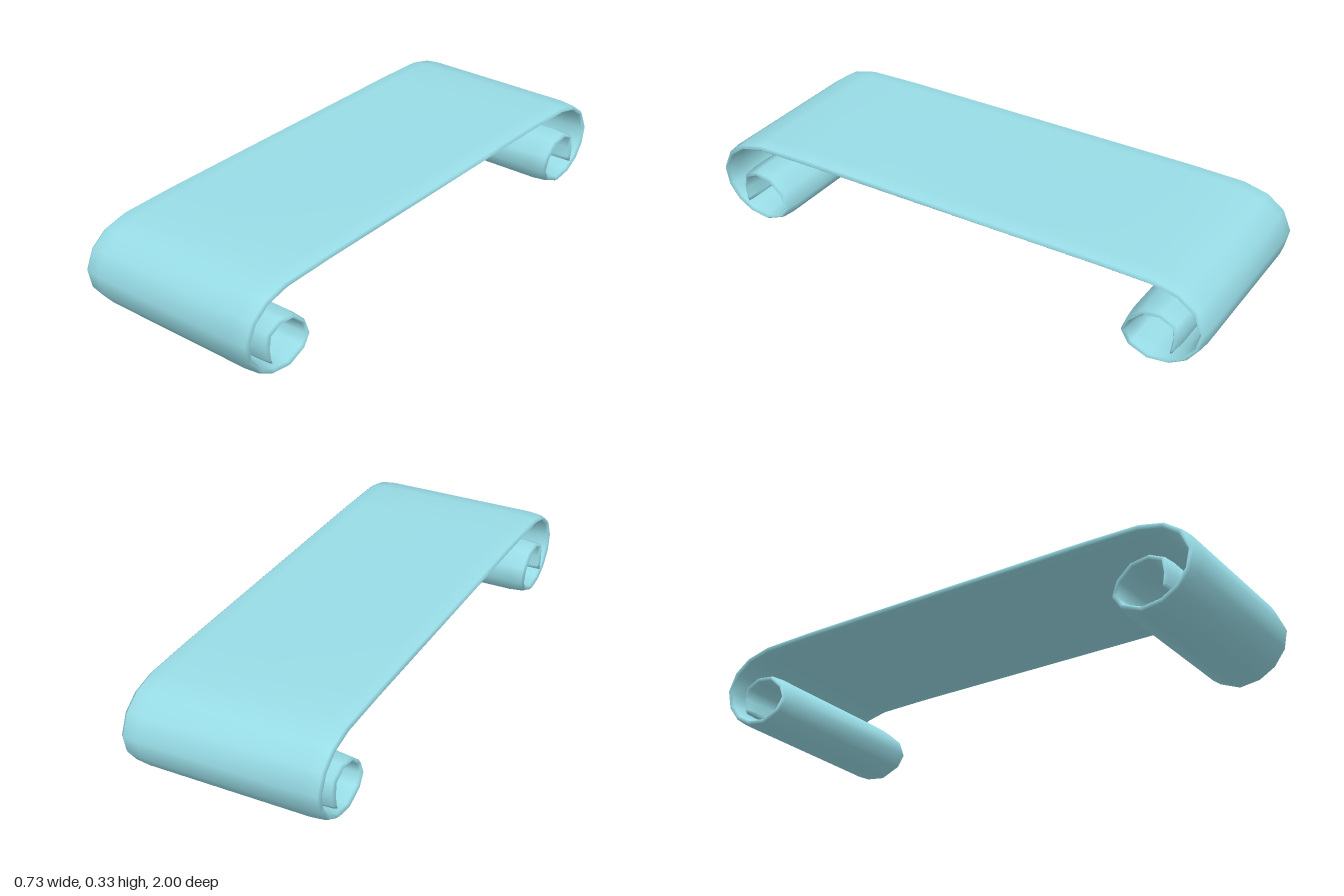
import * as THREE from 'three';

// Centreline of one scrolled end as [z, y, half thickness], from curl tip to flat top
const curl = [
  [0.884, 0.068, 0.007], [0.889, 0.082, 0.012], [0.895, 0.123, 0.013], [0.888, 0.172, 0.013],
  [0.838, 0.195, 0.013], [0.775, 0.186, 0.013], [0.724, 0.14, 0.013], [0.706, 0.091, 0.013],
  [0.733, 0.048, 0.013], [0.803, 0.019, 0.014], [0.875, 0.029, 0.014], [0.932, 0.062, 0.014],
  [0.972, 0.115, 0.014], [0.986, 0.18, 0.014], [0.955, 0.249, 0.015], [0.895, 0.293, 0.015],
  [0.805, 0.314, 0.016], [0.6, 0.318, 0.0165], [0.3, 0.318, 0.0165],
];

// Right half of the cross-section as [x, share of half thickness]: thin rounded edges
const edge = [[0.3, -1], [0.355, -0.6], [0.366, 0], [0.355, 0.6], [0.3, 1]];

function sweepPlate(path, section) {
  const pos = [], index = [], n = section.length, last = path.length - 1;
  path.forEach(([z, y, half], i) => {
    const a = path[Math.max(i - 1, 0)], b = path[Math.min(i + 1, last)];
    const t = new THREE.Vector2(b[0] - a[0], b[1] - a[1]).normalize();
    for (const [x, s] of section) pos.push(x, y - t.x * half * s, z + t.y * half * s);
  });
  for (let i = 0; i < last; i++) {
    for (let j = 0; j < n; j++) {
      const a = i * n + j, b = i * n + (j + 1) % n;
      index.push(a, a + n, b, b, a + n, b + n);
    }
  }
  // Close both curl tips
  for (const i of [0, last]) {
    const c = pos.length / 3;
    pos.push(0, path[i][1], path[i][0]);
    for (let j = 0; j < n; j++) {
      const a = i * n + j, b = i * n + (j + 1) % n;
      if (i === 0) index.push(c, a, b);
      else index.push(c, b, a);
    }
  }
  const g = new THREE.BufferGeometry();
  g.setAttribute('position', new THREE.Float32BufferAttribute(pos, 3));
  g.setIndex(index);
  g.computeVertexNormals();
  return g;
}

export function createModel() {
  const group = new THREE.Group();
  group.name = 'scrollTable';

  // Mirror the curl front to back, and the edge left to right
  const path = [...curl, ...curl.map(([z, y, h]) => [-z, y, h]).reverse()];
  const section = [...edge, ...edge.map(([x, s]) => [-x, -s])];

  const plate = new THREE.Mesh(
    sweepPlate(path, section),
    new THREE.MeshStandardMaterial({ color: 0x98dce6 })
  );
  plate.name = 'scrolledPlate';
  group.add(plate);
  return group;
}
